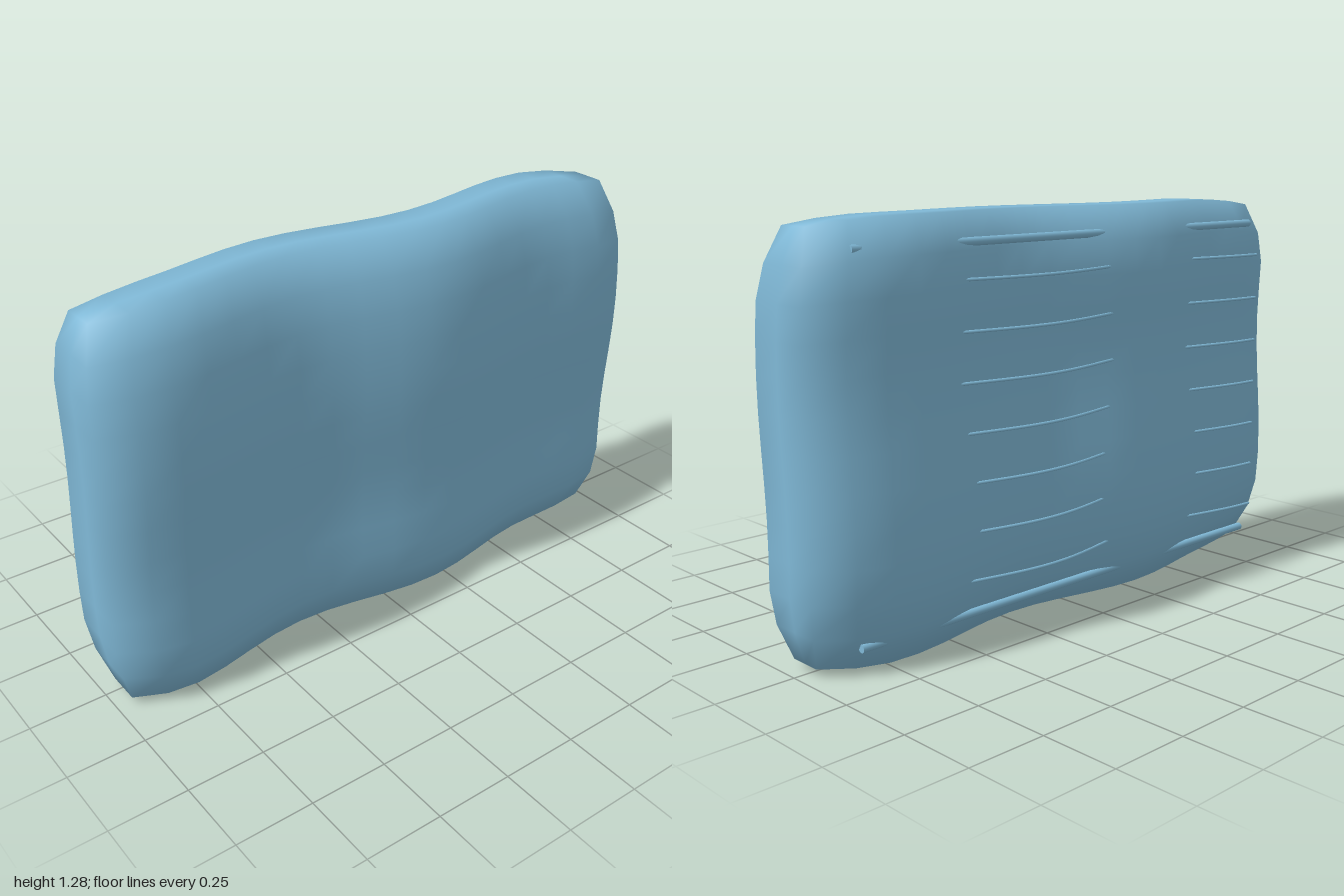
import * as THREE from 'three';
import { mergeVertices } from 'three/addons/utils/BufferGeometryUtils.js';

const WIDTH = 2, HEIGHT = 1.285, HALF_DEPTH = 0.153;
const blue = new THREE.MeshStandardMaterial({ color: 0x80b9d7 });
blue.name = 'soft blue';

// Gentle ripple running across the width and up the height
const ripple = (x, y) =>
  0.035 * Math.cos(2 * Math.PI * (x - 0.19)) +
  0.012 * Math.cos((2 * Math.PI * (y - 0.83)) / 0.9);

// Thins the slab towards an edge; d is the distance from that edge
const taper = (d, amount) => 1 - amount * Math.max(0, 1 - d / 0.3) ** 3;

// Padded slab: a coarse box, thinned at the rim, pinched at the corners, rippled
function makePad() {
  let geo = new THREE.BoxGeometry(WIDTH, HEIGHT, 2, 18, 12, 2);
  geo.deleteAttribute('normal');
  geo.deleteAttribute('uv');
  geo = mergeVertices(geo);
  const p = geo.attributes.position;
  for (let i = 0; i < p.count; i++) {
    const x = p.getX(i), y = p.getY(i);
    const dx = WIDTH / 2 - Math.abs(x), dy = HEIGHT / 2 - Math.abs(y);
    const nearX = Math.max(0, 1 - dx / 0.3), nearY = Math.max(0, 1 - dy / 0.25);
    const px = x * (1 - 0.047 * nearY ** 2);
    const py = y * (1 - 0.038 * nearX ** 2) + HEIGHT / 2;
    const depth = HALF_DEPTH * taper(dx, 0.32) * taper(dy, 0.47);
    p.setXYZ(i, px, py, p.getZ(i) * depth + ripple(px, py));
  }
  geo.computeVertexNormals();
  return geo;
}

export function createModel() {
  const group = new THREE.Group();
  group.name = 'paddedPanel';
  const add = (geo, name) => {
    const mesh = new THREE.Mesh(geo, blue);
    mesh.name = name;
    group.add(mesh);
    return mesh;
  };

  add(makePad(), 'pad');

  // Thin wavy ribs across the back, sinking into the bulges
  for (let i = 0; i < 7; i++) {
    const y = 0.195 + i * 0.15;
    const points = [];
    for (let j = 0; j <= 20; j++) {
      const x = -0.82 + 0.082 * j;
      points.push(new THREE.Vector3(x, y, -0.166 - 0.034 * Math.cos(2 * Math.PI * (x - 0.17))));
    }
    const path = new THREE.CatmullRomCurve3(points);
    add(new THREE.TubeGeometry(path, 40, 0.005, 6), 'rib' + (i + 1));
  }

  // Straight rods along the top and bottom of the back
  for (const [name, y] of [['topRod', 1.2], ['bottomRod', 0.085]]) {
    const rod = add(new THREE.CylinderGeometry(0.013, 0.013, 1.72, 10), name);
    rod.rotation.z = Math.PI / 2;
    rod.position.set(0, y, -0.13);
  }
  return group;
}
